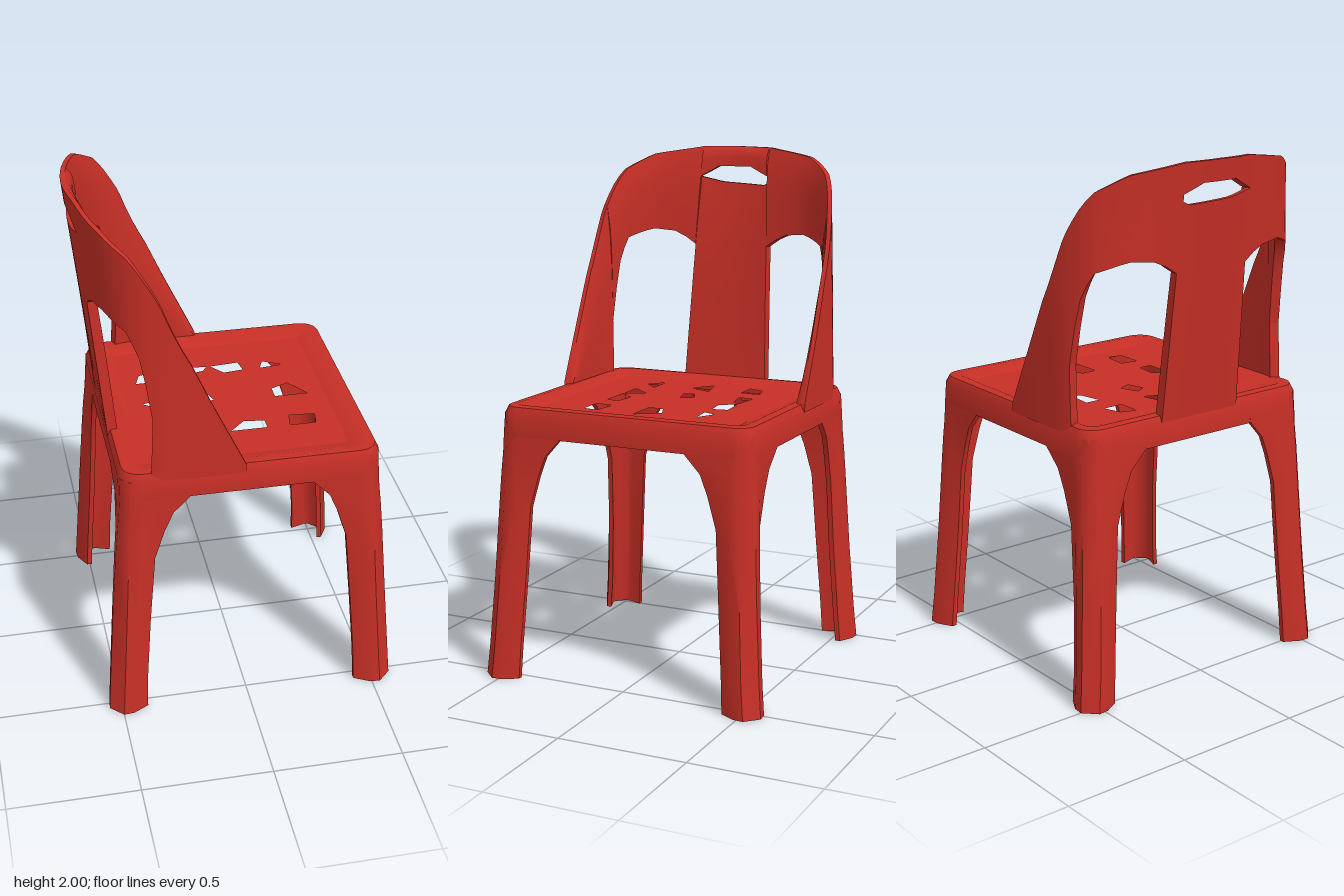
import * as THREE from 'three';
import { toCreasedNormals } from 'three/addons/utils/BufferGeometryUtils.js';

const redPlastic = new THREE.MeshStandardMaterial({ color: 0xc62f26 });
redPlastic.name = 'red plastic';

function addPart(group, name, geometry) {
  const mesh = new THREE.Mesh(toCreasedNormals(geometry, 0.85), redPlastic);
  mesh.name = name;
  group.add(mesh);
}

// Solid swept through equal-length rings [x, y, z]; in each ring the first half
// is the outer face and the second half returns along the inner face.
function loft(rings, loop = false) {
  const n = rings[0].length, count = rings.length, pts = rings.flat(), index = [];
  const quad = (a, b, c, d) => index.push(a, b, c, a, c, d);
  for (let j = 0; j < (loop ? count : count - 1); j++) {
    const a = j * n, b = ((j + 1) % count) * n;
    for (let i = 0; i < n; i++) {
      const k = (i + 1) % n;
      quad(a + i, a + k, b + k, b + i);
    }
  }
  if (!loop) {
    const e = (count - 1) * n;
    for (let i = 0; i < n / 2 - 1; i++) {
      quad(i, n - 1 - i, n - 2 - i, i + 1);
      quad(e + i, e + i + 1, e + n - 2 - i, e + n - 1 - i);
    }
  }
  // Turn the faces outward if the enclosed volume is negative
  let volume = 0;
  const p = pts.map(q => new THREE.Vector3(...q));
  for (let i = 0; i < index.length; i += 3)
    volume += p[index[i]].dot(p[index[i + 1]].clone().cross(p[index[i + 2]]));
  if (volume < 0) index.reverse();
  const g = new THREE.BufferGeometry();
  g.setAttribute('position', new THREE.Float32BufferAttribute(pts.flat(), 3));
  g.setIndex(index);
  return g;
}

// Piecewise linear lookup in [[u, value], ...]
function lookup(table, u) {
  for (let i = 1; i < table.length; i++) {
    const [u0, v0] = table[i - 1], [u1, v1] = table[i];
    if (u <= u1) return v0 + (v1 - v0) * (u - u0) / (u1 - u0);
  }
  return table[table.length - 1][1];
}

// Rounded square outline of the seat, pulled in by an inset
function outline(inset) {
  const r = 0.075 - inset * 0.6, pts = [];
  const corners = [[0.512, 0.52, 0], [-0.476, 0.52, 1], [-0.476, -0.52, 2], [0.512, -0.52, 3]];
  for (const [x, z, q] of corners)
    for (let i = 0; i <= 4; i++) {
      const a = (q + i / 4) * Math.PI / 2;
      pts.push([x - Math.sign(x) * (inset + r) + r * Math.cos(a),
        z - Math.sign(z) * (inset + r) + r * Math.sin(a)]);
    }
  return pts;
}

// Backrest plan curves at seat height and at the top, from one wing to the other
function planCurve(half) {
  const pts = half.map(([x, z]) => new THREE.Vector3(x, 0, z));
  const other = half.slice(0, -1).reverse().map(([x, z]) => new THREE.Vector3(x, 0, -z));
  return new THREE.CatmullRomCurve3([...pts, ...other]);
}
const low = planCurve([[-0.01, 0.522], [-0.2, 0.522], [-0.35, 0.512], [-0.44, 0.465], [-0.472, 0.34], [-0.475, 0.18], [-0.475, 0]]);
const high = planCurve([[-0.02, 0.525], [-0.2, 0.515], [-0.305, 0.5], [-0.415, 0.455], [-0.505, 0.355], [-0.565, 0.15], [-0.583, 0]]);

function backPoint(u, y, depth) {
  const t = (y - 1.05) / 0.95;
  const at = s => low.getPoint(s / 12).lerp(high.getPoint(s / 12), t);
  const p = at(u), d = at(Math.min(u + 0.02, 12)).sub(at(Math.max(u - 0.02, 0))).normalize();
  return [p.x - d.z * depth, y, p.z + d.x * depth];
}

// Thick curved panel between two heights that vary along the backrest,
// thinning toward its upper edge
function backPanel(u0, u1, lo, hi, mirror = false) {
  const rings = [], steps = 12, rows = 6;
  for (let j = 0; j <= steps; j++) {
    const u = u0 + (u1 - u0) * j / steps, a = lookup(lo, u), b = lookup(hi, u);
    const column = thickness => Array.from({ length: rows + 1 }, (_, i) =>
      backPoint(u, a + (b - a) * i / rows, thickness * (1 - 0.55 * (i / rows) ** 5)));
    const ring = [...column(0), ...column(0.04).reverse()];
    rings.push(mirror ? ring.map(([x, y, z]) => [x, y, -z]) : ring);
  }
  return loft(rings);
}

export function createModel() {
  const chair = new THREE.Group();
  chair.name = 'chair';

  // Seat panel with its irregular drain holes, listed as x, z corners
  const holes = [
    [-0.31, -0.17, -0.29, -0.23, -0.22, -0.25, -0.22, -0.17],
    [-0.12, -0.26, -0.01, -0.25, -0.03, -0.22, -0.12, -0.2],
    [0.005, -0.25, 0.12, -0.26, 0.13, -0.2, 0.05, -0.19],
    [0.2, -0.2, 0.22, -0.25, 0.29, -0.21],
    [-0.31, -0.01, -0.19, -0.04, -0.23, 0.05],
    [-0.12, -0.01, -0.05, -0.04, -0.03, 0.01, -0.1, 0.03],
    [0.21, -0.03, 0.28, -0.06, 0.34, 0.03, 0.21, 0.03],
    [-0.29, 0.2, -0.18, 0.2, -0.23, 0.25],
    [-0.12, 0.25, -0.05, 0.17, -0.02, 0.25],
    [-0.01, 0.25, 0.05, 0.19, 0.13, 0.2, 0.13, 0.25],
    [0.23, 0.18, 0.33, 0.19, 0.32, 0.25, 0.22, 0.25],
  ];
  const seat = new THREE.Shape(outline(0.1).map(([x, z]) => new THREE.Vector2(x, -z)));
  for (const h of holes) {
    const pts = [];
    for (let i = 0; i < h.length; i += 2) pts.push(new THREE.Vector2(h[i], -h[i + 1]));
    seat.holes.push(new THREE.Path(pts));
  }
  const panel = new THREE.ExtrudeGeometry(seat, { depth: 0.03, bevelEnabled: false });
  panel.rotateX(-Math.PI / 2).translate(0, 1.012, 0);
  addPart(chair, 'seat', panel);

  // Rolled rim and skirt around the slightly sunken seat: [inset, height]
  const skirt = [[0.105, 1.042], [0.045, 1.064], [0.014, 1.06], [0, 1.03], [0.002, 0.95],
    [0.035, 0.945], [0.045, 1.0], [0.105, 1.012]];
  const sections = skirt.map(([inset, y]) => outline(inset).map(([x, z]) => [x, y, z]));
  addPart(chair, 'seatSkirt', loft(sections[0].map((_, i) => sections.map(s => s[i])), true));

  // Splayed legs with a shallow curled section:
  // [height, outer corner x, outer corner z, width, edge curl, corner cut]
  const levels = [[0, 0.582, 0.578, 0.15, 0.037, 0.05], [0.12, 0.574, 0.567, 0.145, 0.036, 0.05],
    [0.4, 0.554, 0.548, 0.145, 0.033, 0.048], [0.68, 0.533, 0.533, 0.148, 0.026, 0.044],
    [0.8, 0.522, 0.526, 0.175, 0.017, 0.04], [0.88, 0.513, 0.52, 0.2, 0.008, 0.037],
    [0.95, 0.508, 0.517, 0.26, 0, 0.035], [1.03, 0.503, 0.513, 0.27, 0, 0.035]];
  for (const [sx, end] of [[1, 'front'], [-1, 'back']])
    for (const [sz, side] of [[-1, 'Left'], [1, 'Right']]) {
      const rings = levels.map(([y, ox, oz, w, curl, c]) => {
        const x = ox - (sx < 0 ? 0.032 : 0), m = 0.09, t = 0.036, k = c + 0.022, e = curl + 0.02;
        return [[x - w, oz - curl], [x - m, oz - curl * 0.1], [x - c, oz],
          [x, oz - c], [x - curl * 0.1, oz - m], [x - curl, oz - w],
          [x - e, oz - w], [x - t, oz - m], [x - t, oz - k],
          [x - k, oz - t], [x - m, oz - t], [x - w, oz - e]]
          .map(([px, pz]) => [sx * px, y, sz * pz]);
      });
      addPart(chair, `${end}${side}Leg`, loft(rings));
    }

  // Wraparound backrest: rim, opening and hand-slot heights along the curve
  const rim = [[0, 1.065], [0.3, 1.19], [1, 1.48], [2, 1.74], [2.5, 1.83], [3, 1.9], [4, 1.965], [5, 1.998],
    [6, 2], [7, 1.998]];
  const opening = [[2.1, 1.28], [2.5, 1.51], [3, 1.62], [4, 1.66], [4.6, 1.65], [5, 1.6]];
  const slotLow = [[5, 1.875], [5.6, 1.855], [6.9, 1.845], [7, 1.86]];
  const slotHigh = [[5, 1.877], [5.5, 1.92], [6.5, 1.92], [7, 1.885]];
  const base = [[0, 1.03], [12, 1.03]];
  for (const [mirror, side] of [[true, 'left'], [false, 'right']]) {
    addPart(chair, `${side}BackWing`, backPanel(0, 2.1, base, rim, mirror));
    addPart(chair, `${side}BackArch`, backPanel(2.1, 5, opening, rim, mirror));
  }
  addPart(chair, 'backSplat', backPanel(5, 7, base, slotLow));
  addPart(chair, 'handleBar', backPanel(5, 7, slotHigh, rim));

  return chair;
}
